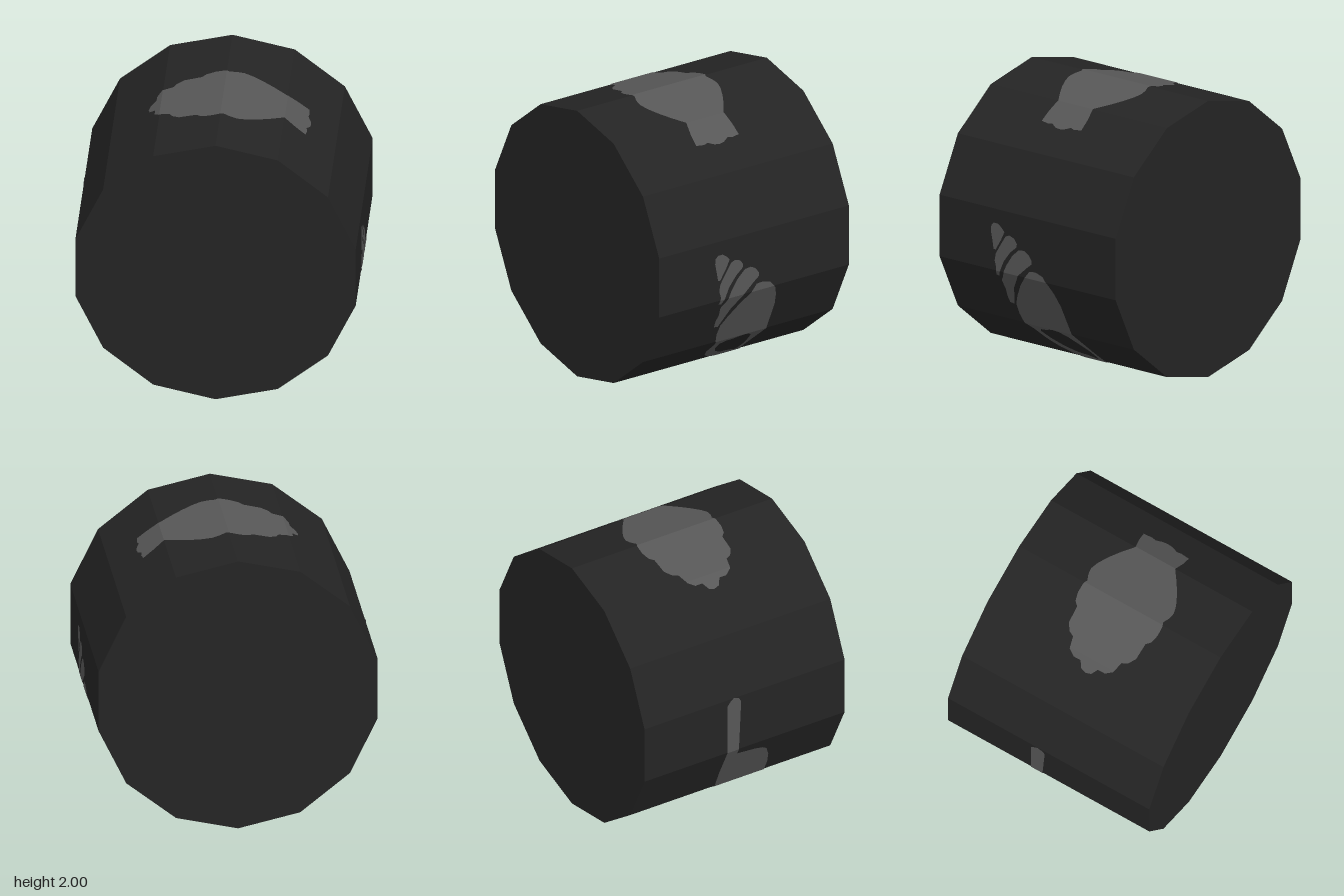
import * as THREE from 'three';

const SIDES = 14, HALF = 0.81, LIFT = 1.004;

// corner k of the drum's cross-section, counted clockwise from the top
const corner = (k) => [
  Math.sin((k * 2 * Math.PI) / SIDES),
  1 + Math.cos((k * 2 * Math.PI) / SIDES),
];

// keep the part of an outline whose second coordinate is above (sign 1) or below (sign -1) a limit
function clip(points, limit, sign) {
  const out = [];
  points.forEach((a, i) => {
    const b = points[(i + 1) % points.length];
    const da = (a[1] - limit) * sign, db = (b[1] - limit) * sign;
    if (da >= 0) out.push(a);
    if (da * db < 0) out.push([a[0] + ((b[0] - a[0]) * da) / (da - db), limit]);
  });
  return out;
}

// wrap a flat outline of [z, s] points over drum faces; s is x (axis 0) or y (axis 1)
function wrap(outline, hole, axis, faces, mirror = 1) {
  const positions = [];
  for (const k of faces) {
    const a = corner(k), b = corner(k + 1);
    const lo = Math.min(a[axis], b[axis]), hi = Math.max(a[axis], b[axis]);
    const cut = (pts) => clip(clip(pts, lo, 1), hi, -1).map((p) => new THREE.Vector2(...p));
    const edge = cut(outline);
    if (edge.length < 3) continue;
    const inner = hole ? cut(hole) : [];
    const holes = inner.length > 2 ? [inner] : [];
    const all = [...edge, ...holes.flat()];
    for (const tri of THREE.ShapeUtils.triangulateShape(edge, holes)) {
      for (const i of tri) {
        const t = (all[i].y - a[axis]) / (b[axis] - a[axis]);
        const x = a[0] + (b[0] - a[0]) * t, y = a[1] + (b[1] - a[1]) * t;
        positions.push(x * LIFT * mirror, 1 + (y - 1) * LIFT, all[i].x);
      }
    }
  }
  const geometry = new THREE.BufferGeometry();
  geometry.setAttribute('position', new THREE.Float32BufferAttribute(positions, 3));
  geometry.computeVertexNormals();
  return geometry;
}

// half outline of the fan shell: [x, half width]
const FAN = [
  [-0.52, 0], [-0.51, 0.04], [-0.47, 0.07], [-0.47, 0.125], [-0.44, 0.175], [-0.36, 0.195],
  [-0.34, 0.235], [-0.29, 0.27], [-0.17, 0.275], [-0.14, 0.305], [-0.08, 0.32], [-0.01, 0.318],
  [0.02, 0.305], [0.07, 0.325], [0.12, 0.332], [0.18, 0.315], [0.26, 0.275], [0.34, 0.225],
  [0.43, 0.16], [0.51, 0.177], [0.58, 0.182], [0.587, 0.12], [0.58, 0.085], [0.6, 0.04], [0.605, 0],
];

// spiral shell pieces: [z, y]
const WHORLS = {
  spiralTip: [
    [0.33, 1.1], [0.31, 1.12], [0.27, 1.12], [0.24, 1.1], [0.21, 1.07], [0.24, 1.01],
    [0.29, 0.93], [0.31, 0.93], [0.32, 0.99], [0.335, 1.06],
  ],
  spiralUpperWhorl: [
    [0.2, 1.04], [0.165, 1.055], [0.12, 1.04], [0.095, 1.005], [0.1, 0.98], [0.155, 0.935],
    [0.215, 0.86], [0.27, 0.74], [0.295, 0.745], [0.285, 0.8], [0.3, 0.85], [0.29, 0.9], [0.25, 0.965],
  ],
  spiralLowerWhorl: [
    [0.08, 0.965], [0.03, 0.97], [-0.01, 0.95], [-0.04, 0.91], [-0.04, 0.885], [0.005, 0.85],
    [0.085, 0.78], [0.165, 0.67], [0.225, 0.525], [0.26, 0.53], [0.265, 0.58], [0.255, 0.64],
    [0.265, 0.705], [0.235, 0.745], [0.195, 0.83], [0.14, 0.91],
  ],
  spiralBody: [
    [-0.02, 0.83], [-0.075, 0.835], [-0.14, 0.815], [-0.185, 0.76], [-0.215, 0.69], [-0.235, 0.6],
    [-0.24, 0.39], [-0.245, 0.175], [-0.26, 0.095], [-0.25, 0.08], [-0.18, 0.085], [-0.075, 0.095],
    [0.02, 0.115], [0.095, 0.165], [0.14, 0.23], [0.16, 0.33], [0.195, 0.385], [0.21, 0.45],
    [0.205, 0.53], [0.165, 0.6], [0.095, 0.7], [0.03, 0.77],
  ],
};
const MOUTH = [
  [0.105, 0.32], [0.075, 0.345], [0.02, 0.35], [-0.02, 0.365], [-0.06, 0.372], [-0.105, 0.365],
  [-0.15, 0.33], [-0.18, 0.27], [-0.21, 0.2], [-0.215, 0.13], [-0.2, 0.12], [-0.14, 0.14],
  [-0.05, 0.15], [0.03, 0.19], [0.085, 0.255],
];

// long-tailed ray: [z, y]
const RAY = [
  [-0.12, 1.2], [-0.09, 1.225], [-0.05, 1.215], [-0.03, 1.18], [-0.04, 0.95], [-0.05, 0.73],
  [0.02, 0.72], [0.1, 0.71], [0.17, 0.69], [0.21, 0.66], [0.25, 0.57], [0.27, 0.47], [0.27, 0.38],
  [0.23, 0.25], [0.17, 0.13], [0.14, 0.09], [0.08, 0.09], [0.03, 0.13], [-0.06, 0.24],
  [-0.13, 0.38], [-0.14, 0.55], [-0.14, 0.76], [-0.14, 1.0], [-0.14, 1.17],
];

export function createModel() {
  const model = new THREE.Group();
  const charcoal = new THREE.MeshStandardMaterial({ color: 0x242424, flatShading: true });
  charcoal.name = 'charcoal';
  const grey = new THREE.MeshStandardMaterial({ color: 0x575757, side: THREE.DoubleSide });
  grey.name = 'paintGrey';

  const add = (name, geometry, material) => {
    const mesh = new THREE.Mesh(geometry, material);
    mesh.name = name;
    model.add(mesh);
  };

  // fourteen-sided drum lying along z
  const drum = new THREE.CylinderGeometry(1, 1, HALF * 2, SIDES);
  drum.rotateX(Math.PI / 2).translate(0, 1, 0);
  add('drum', drum, charcoal);

  // fan shell on top, mirrored about its own long axis
  const fan = [
    ...FAN.map(([x, w]) => [0.03 - w, x]),
    ...FAN.slice(1, -1).reverse().map(([x, w]) => [0.03 + w, x]),
  ];
  add('fanShell', wrap(fan, null, 0, [-2, -1, 0, 1]), grey);

  // spiral shell on the +x side, ray on the -x side
  const sideFaces = [2, 3, 4, 5, 6];
  for (const [name, outline] of Object.entries(WHORLS)) {
    add(name, wrap(outline, name === 'spiralBody' ? MOUTH : null, 1, sideFaces), grey);
  }
  add('ray', wrap(RAY, null, 1, sideFaces, -1), grey);

  return model;
}
